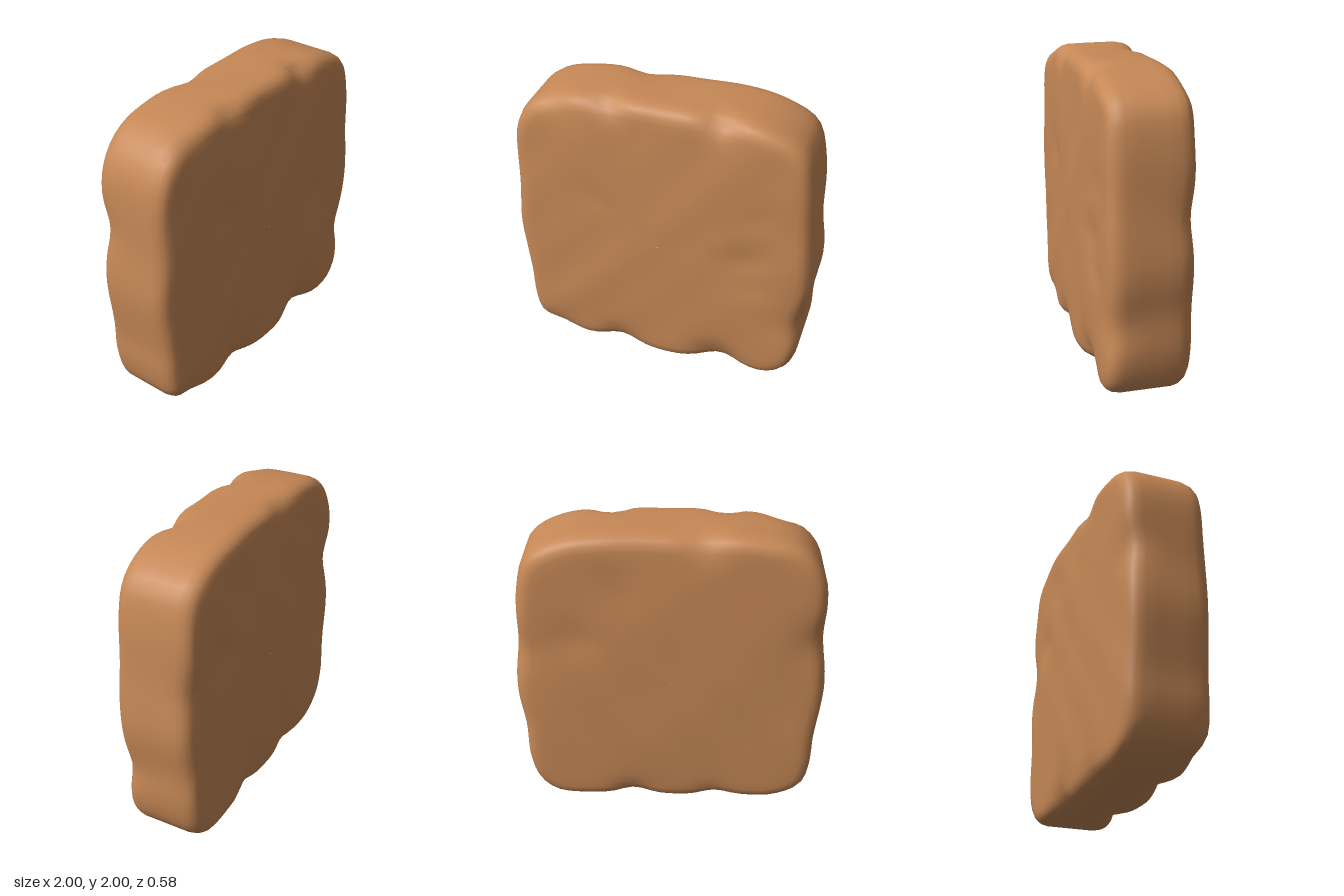
import * as THREE from 'three';

// Front outline, clockwise from the -x side
const OUTLINE = [
  [-1, 0.9], [-0.98, 1.2], [-0.95, 1.7], [-0.86, 1.86], [-0.74, 1.94], [-0.55, 1.98], [-0.35, 2],
  [0, 2], [0.4, 2], [0.65, 1.965], [0.84, 1.88], [0.9, 1.81], [0.95, 1.6], [0.97, 1.3], [1, 0.88],
  [0.965, 0.6], [0.955, 0.34], [0.9, 0.14], [0.79, 0.045], [0.5, 0.015], [0, 0.005], [-0.4, 0.015],
  [-0.73, 0.03], [-0.9, 0.12], [-0.95, 0.29], [-0.96, 0.5],
];

// Worn spots: x, y, z, radius, depth
const DENTS = [
  [0.42, 0.03, 0.25, 0.16, 0.06], [-0.3, 0.03, 0.25, 0.14, 0.04], [-0.75, 0.06, 0.25, 0.15, 0.03],
  [-0.33, 2, 0.25, 0.1, 0.04], [0.37, 2, 0.25, 0.1, 0.05], [-0.7, 1.95, 0.25, 0.12, 0.03],
  [-0.2, 2, -0.25, 0.13, 0.03], [0.25, 0.02, -0.25, 0.13, 0.04], [-0.3, 0.02, -0.25, 0.12, 0.03],
  [0.97, 0.5, 0.25, 0.15, 0.03], [0.97, 1.2, -0.25, 0.15, 0.02], [-0.97, 1.3, -0.25, 0.15, 0.03],
  [0.55, 1.0, 0.28, 0.12, 0.02], [0.65, 1.35, 0.28, 0.1, 0.015], [0.65, 0.8, 0.28, 0.1, 0.015],
  [-0.4, 1.28, 0.28, 0.1, 0.012], [0.6, 1.3, -0.28, 0.12, 0.015], [0.3, 1.65, -0.28, 0.12, 0.012],
];

// Half profile from the face centre to the middle of the edge: inset from the outline, z
const RIM = [[0.16, 0.264], [0.1, 0.261], [0.06, 0.254], [0.03, 0.235], [0.01, 0.205], [0, 0.16], [0, 0.08]];

function slabGeometry() {
  const N = 112;
  const curve = new THREE.CatmullRomCurve3(
    OUTLINE.map(([x, y]) => new THREE.Vector3(x, y - 1, 0)), true, 'centripetal');
  const loop = curve.getSpacedPoints(N).slice(0, N);

  // Rings run from the front centre over the rim to the back centre
  const half = [];
  for (const s of [0.002, 0.1, 0.2, 0.3, 0.4, 0.5, 0.6, 0.7, 0.78]) half.push({ s, z: 0.264 + 0.02 * (1 - s * s / 0.7) });
  for (const [d, z] of RIM) half.push({ d, z });
  const rings = [...half, { d: 0, z: 0 }, ...half.slice().reverse().map(r => ({ ...r, z: -r.z }))];

  const positions = [], index = [];
  const v = new THREE.Vector3(), c = new THREE.Vector3();
  for (const { s, d, z } of rings) {
    for (const p of loop) {
      const k = s !== undefined ? s : 1 - d / p.length();
      v.set(p.x * k, p.y * k + 1, z);
      // Gentle hand-shaped unevenness
      const wave = Math.sin(v.x * 7 + 1) * Math.sin(v.y * 6 + z * 4) + 0.6 * Math.sin(v.x * 13 - v.y * 11 + z * 5);
      v.z += Math.sign(z) * 0.004 * wave;
      // Dents press inward through the face and toward the centre
      for (const [x, y, dz, r, depth] of DENTS) {
        const w = depth * Math.exp(-v.distanceToSquared(c.set(x, y, dz)) / (r * r));
        v.z -= Math.sign(dz) * w;
        if (y < 0.2 || y > 1.8) v.y += (y < 1 ? 0.7 : -0.7) * w;
        if (Math.abs(x) > 0.9) v.x -= Math.sign(x) * 0.6 * w;
      }
      positions.push(v.x, v.y, v.z);
    }
  }
  for (let i = 0; i < rings.length - 1; i++) {
    for (let j = 0; j < N; j++) {
      const a = i * N + j, b = i * N + (j + 1) % N;
      index.push(a, b, a + N, b, b + N, a + N);
    }
  }
  const geometry = new THREE.BufferGeometry();
  geometry.setAttribute('position', new THREE.Float32BufferAttribute(positions, 3));
  // Clockwise loop seen from the front: flip so faces point outward
  for (let i = 0; i < index.length; i += 3) [index[i + 1], index[i + 2]] = [index[i + 2], index[i + 1]];
  geometry.setIndex(orientOutward(positions, index));
  geometry.computeVertexNormals();
  return geometry;
}

// Reverse all triangles if the enclosed volume comes out negative
function orientOutward(p, index) {
  const at = i => new THREE.Vector3(p[3 * i], p[3 * i + 1], p[3 * i + 2]);
  let volume = 0;
  for (let i = 0; i < index.length; i += 3) volume += at(index[i]).dot(at(index[i + 1]).cross(at(index[i + 2])));
  return volume < 0 ? index.slice().reverse() : index;
}

export function createModel() {
  const group = new THREE.Group();
  group.name = 'wornSlab';
  const clay = new THREE.MeshStandardMaterial({ color: 0xc68856 });
  clay.name = 'clay brown';
  const slab = new THREE.Mesh(slabGeometry(), clay);
  slab.name = 'slab';
  group.add(slab);
  return group;
}
